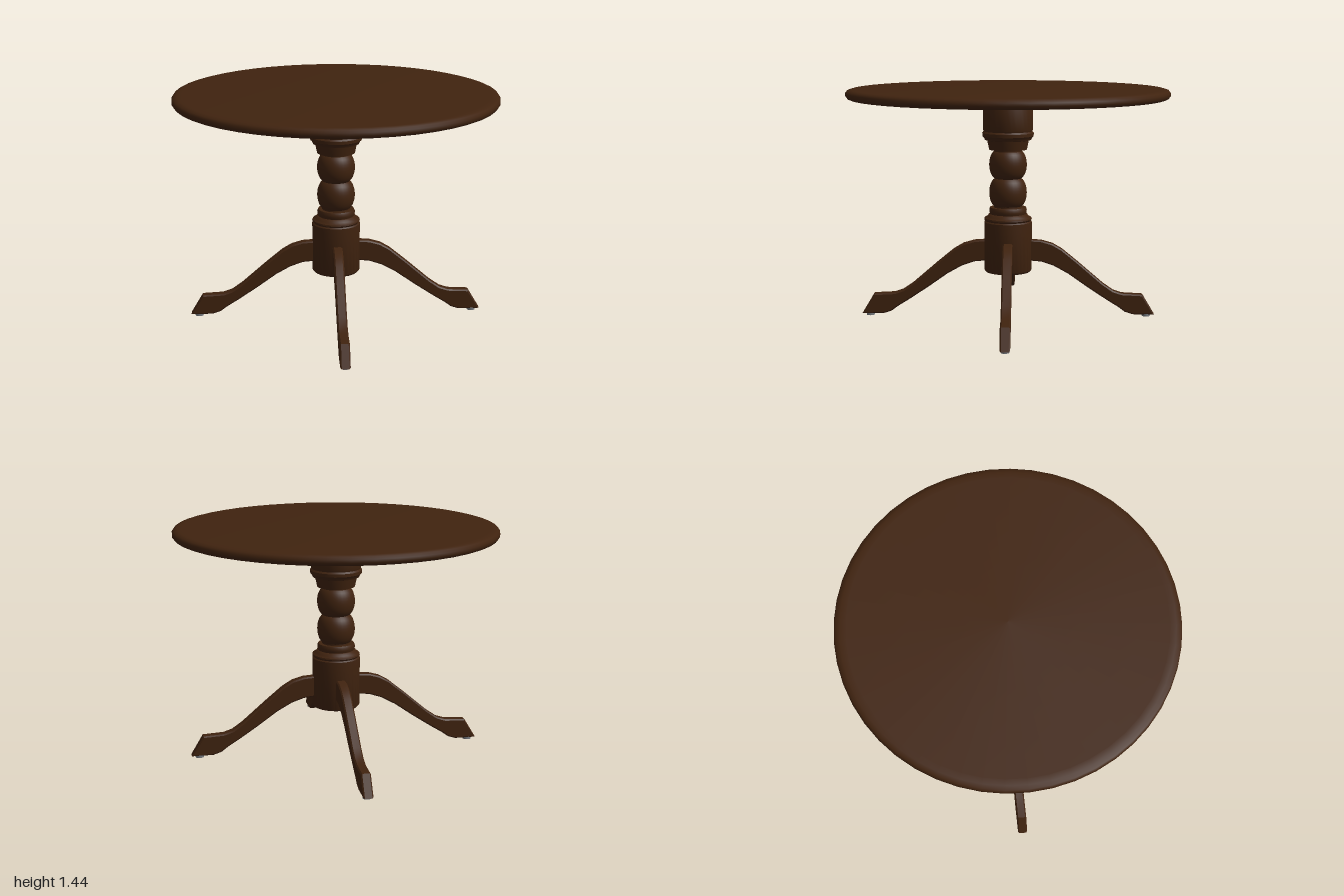
import * as THREE from 'three';
import { toCreasedNormals } from 'three/addons/utils/BufferGeometryUtils.js';

const wood = new THREE.MeshStandardMaterial({ color: 0x40230f });
wood.name = 'dark wood';
const metal = new THREE.MeshStandardMaterial({ color: 0x777b80 });
metal.name = 'grey metal';

const points = (list) => list.map(([x, y]) => new THREE.Vector2(x, y));

// Turned part from a bottom-to-top profile of [radius, height]
function turned(name, profile, sides) {
  const geometry = toCreasedNormals(new THREE.LatheGeometry(points(profile), sides), 0.7);
  const mesh = new THREE.Mesh(geometry, wood);
  mesh.name = name;
  return mesh;
}

// Profile of a round bead with flattened poles
function bead(y, radius, halfHeight) {
  const profile = [];
  for (let i = 0; i <= 12; i++) {
    const a = (-0.75 + (1.5 * i) / 12) * (Math.PI / 2);
    profile.push([radius * Math.cos(a * 0.68), y + halfHeight * Math.sin(a) / Math.sin(0.75 * Math.PI / 2)]);
  }
  return [[0, y - halfHeight], ...profile, [0, y + halfHeight]];
}

function disc(name, radius, height, material, x, y, z) {
  const mesh = new THREE.Mesh(new THREE.CylinderGeometry(radius, radius, height, 16), material);
  mesh.name = name;
  mesh.position.set(x, y, z);
  return mesh;
}

// Curved leg outline, running outwards along +x
function legGeometry() {
  const bevel = 0.008;
  const shape = new THREE.Shape(points([
    [0.1, 0.362], [0.21, 0.352], [0.29, 0.325], [0.38, 0.275], [0.5, 0.19], [0.62, 0.11],
    [0.7, 0.06], [0.74, 0.03], [0.79, 0.014], [0.925, 0.014],
    [0.85, 0.14], [0.72, 0.147], [0.665, 0.165], [0.6, 0.21], [0.44, 0.348],
    [0.34, 0.43], [0.28, 0.465], [0.21, 0.485], [0.1, 0.492],
  ]));
  const geometry = new THREE.ExtrudeGeometry(shape, {
    depth: 0.06 - 2 * bevel, bevelEnabled: true, bevelThickness: bevel,
    bevelSize: bevel, bevelOffset: -bevel, bevelSegments: 1,
  });
  geometry.translate(0, 0, bevel - 0.03);
  return toCreasedNormals(geometry, 0.5);
}

export function createModel() {
  const table = new THREE.Group();
  table.name = 'pedestalTable';

  // Round top with softened rim, and mounting plate below it
  table.add(turned('tableTop', [
    [0, 1.38], [0.975, 1.38], [0.99, 1.386], [1, 1.4], [1, 1.418],
    [0.99, 1.432], [0.965, 1.439], [0.93, 1.44], [0, 1.44],
  ], 48));
  table.add(turned('mountingPlate', [[0, 1.35], [0.31, 1.35], [0.31, 1.381], [0, 1.381]], 40));

  // Turned pedestal
  table.add(turned('lowerColumn', [
    [0, 0.288], [0.14, 0.288], [0.15, 0.3], [0.15, 0.605], [0.143, 0.612], [0.15, 0.622],
    [0.148, 0.63], [0.13, 0.64], [0.122, 0.652], [0.113, 0.655], [0.118, 0.67],
    [0.118, 0.685], [0.112, 0.697], [0, 0.697],
  ], 32));
  table.add(turned('lowerBead', bead(0.79, 0.118, 0.09), 32));
  table.add(turned('upperBead', bead(0.966, 0.118, 0.088), 32));
  table.add(turned('neck', [[0.09, 0.68], [0.075, 0.88], [0.09, 1.07]], 24));
  table.add(turned('upperColumn', [
    [0, 1.06], [0.118, 1.06], [0.13, 1.118], [0.145, 1.122], [0.15, 1.135], [0.16, 1.145],
    [0.161, 1.165], [0.152, 1.175], [0.156, 1.185], [0.156, 1.335], [0.15, 1.352], [0, 1.352],
  ], 32));

  // Screws holding the plate
  for (const azimuth of [116, 31, 232]) {
    const a = THREE.MathUtils.degToRad(azimuth);
    table.add(disc('plateScrew', 0.024, 0.014, metal, 0.235 * Math.sin(a), 1.344, 0.235 * Math.cos(a)));
  }

  // Four splayed legs with glides
  const geometry = legGeometry();
  for (let i = 0; i < 4; i++) {
    const leg = new THREE.Group();
    leg.name = 'leg' + (i + 1);
    const body = new THREE.Mesh(geometry, wood);
    body.name = 'legBody';
    leg.add(body, disc('footGlide', 0.026, 0.016, metal, 0.875, 0.008, 0));
    leg.rotation.y = 0.644 + (i * Math.PI) / 2;
    table.add(leg);
  }
  return table;
}
